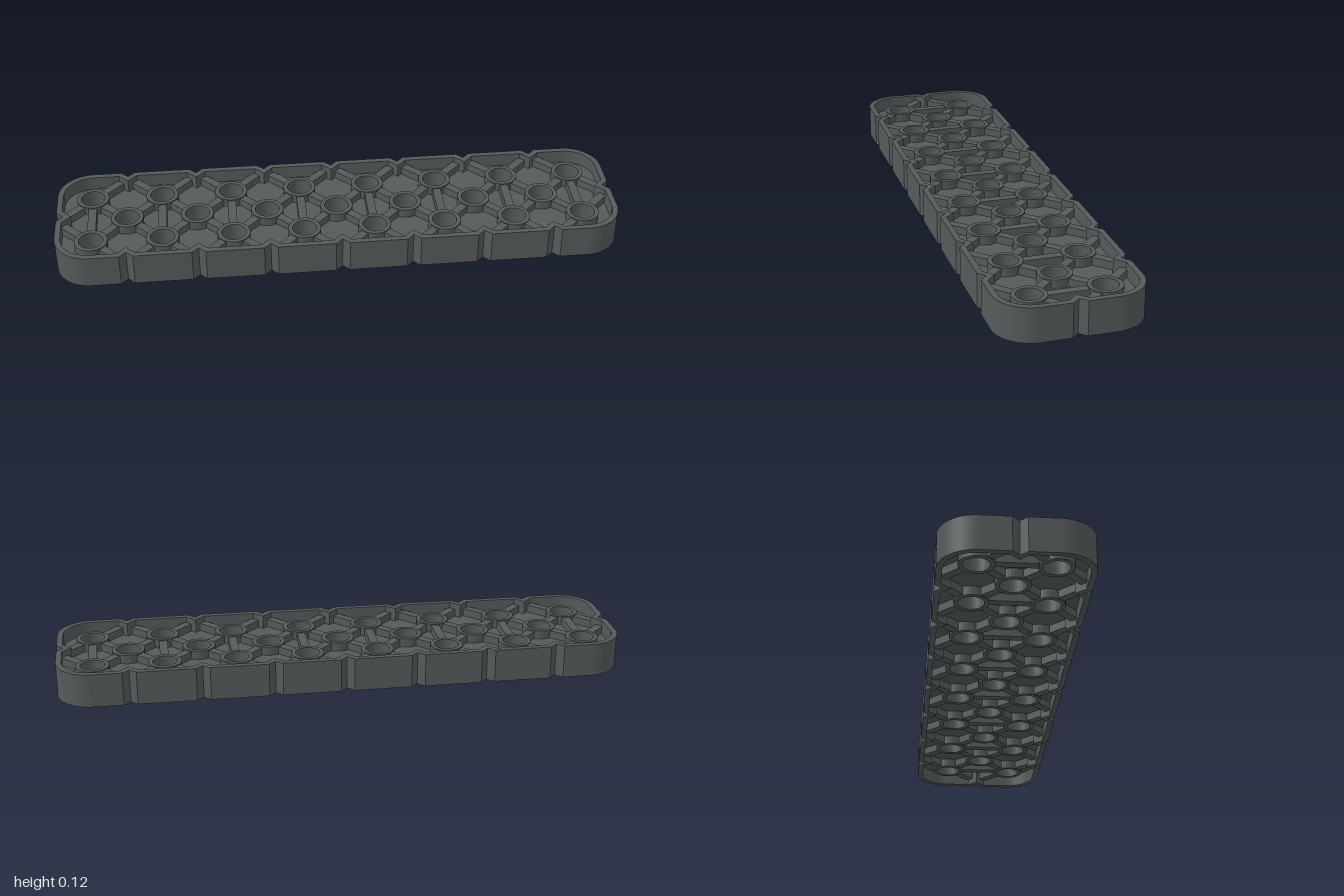
import * as THREE from 'three';

const HALF_X = 1, HALF_Z = 0.248, PITCH = 0.25, ROW = 0.124;
const HEIGHT = 0.12, WALL = 0.02, NOTCH = 0.024, HOLE = 0.043, COLLAR = 0.058, RIB = 0.03;

// Rounded outline with V notches along its edges, inset by d.
function outline(d, PathType = THREE.Shape) {
  const path = new PathType();
  const r = 0.124 - d, hx = HALF_X - d, hz = HALF_Z - d;
  const w = NOTCH + d * (Math.SQRT2 - 1); // half width and depth of the inset V
  const sides = [
    { at: [0.75, 0.5, 0.25, 0, -0.25, -0.5, -0.75], p: (t, in_) => [t, hz - in_] },
    { at: [0], p: (t, in_) => [-hx + in_, t] },
    { at: [-0.75, -0.5, -0.25, 0, 0.25, 0.5, 0.75], p: (t, in_) => [t, -hz + in_], dir: 1 },
    { at: [0], p: (t, in_) => [hx - in_, t], dir: 1 },
  ];
  path.moveTo(hx - r, hz);
  sides.forEach(({ at, p, dir = -1 }, i) => {
    for (const t of at) {
      path.lineTo(...p(t - dir * w, 0));
      path.lineTo(...p(t, w));
      path.lineTo(...p(t + dir * w, 0));
    }
    const cx = (hx - r) * (i === 0 || i === 1 ? -1 : 1);
    const cz = (hz - r) * (i === 0 || i === 3 ? 1 : -1);
    const a = (i + 1) * Math.PI / 2;
    path.absarc(cx, cz, r, a, a + Math.PI / 2, false);
  });
  return path;
}

// Extrudes a plan shape upward from y0 to y1.
function slab(shape, y0, y1) {
  const geo = new THREE.ExtrudeGeometry(shape, { depth: y1 - y0, bevelEnabled: false, curveSegments: 16 });
  return geo.rotateX(-Math.PI / 2).translate(0, y0, 0);
}

function circle(x, z, r) {
  return new THREE.Path().absarc(x, -z, r, 0, Math.PI * 2, true);
}

export function createModel() {
  const group = new THREE.Group();
  const material = new THREE.MeshStandardMaterial({ color: 0x555a5a });
  const add = (name, geo) => {
    const mesh = new THREE.Mesh(geo, material);
    mesh.name = name;
    group.add(mesh);
    return mesh;
  };

  // Hole centres: two outer rows and a staggered middle row
  const outer = [], middle = [];
  for (let i = 0; i < 8; i++) for (const s of [-1, 1]) outer.push([-0.875 + i * PITCH, s * ROW]);
  for (let i = -3; i <= 3; i++) middle.push([i * PITCH, 0]);
  const holes = [...outer, ...middle];

  // Notched outer wall
  const rim = outline(0);
  rim.holes.push(outline(WALL, THREE.Path));
  add('outerWall', slab(rim, 0, HEIGHT));

  // Thin web at mid height
  const web = outline(WALL * 0.8);
  for (const [x, z] of holes) web.holes.push(circle(x, z, HOLE));
  add('web', slab(web, 0.05, 0.07));

  // Raised collar round each hole
  const ring = new THREE.Shape().absarc(0, 0, COLLAR, 0, Math.PI * 2, false);
  ring.holes.push(circle(0, 0, HOLE));
  const collarGeo = slab(ring, 0.018, 0.102);
  for (const [x, z] of holes) add('collar', collarGeo).position.set(x, 0, z);

  // Ribs, standing proud of the web on both faces
  const addRib = (name, [x, z], angle, from, to) => {
    const geo = new THREE.BoxGeometry(to - from, 0.076, RIB).translate((from + to) / 2, 0.06, 0);
    const mesh = add(name, geo);
    mesh.position.set(x, 0, z);
    mesh.rotation.y = -angle;
  };
  const start = COLLAR - 0.008;
  for (const [x, z] of outer) {
    for (const sx of [-1, 1]) for (const sz of [-1, 1]) {
      const nx = x + sx * 0.125, outward = sz === Math.sign(z);
      if (outward && Math.abs(nx) > 0.9) continue; // no rib into a rounded corner
      const toWall = outward || Math.abs(nx) > 0.9;
      addRib('diagonalRib', [x, z], Math.atan2(sz, sx), start, toWall ? 0.147 : 0.126);
    }
    // Cross rib joining the two outer rows
    if (z < 0) addRib('crossRib', [x, z], Math.PI / 2, start, 2 * ROW - start);
  }
  return group;
}
